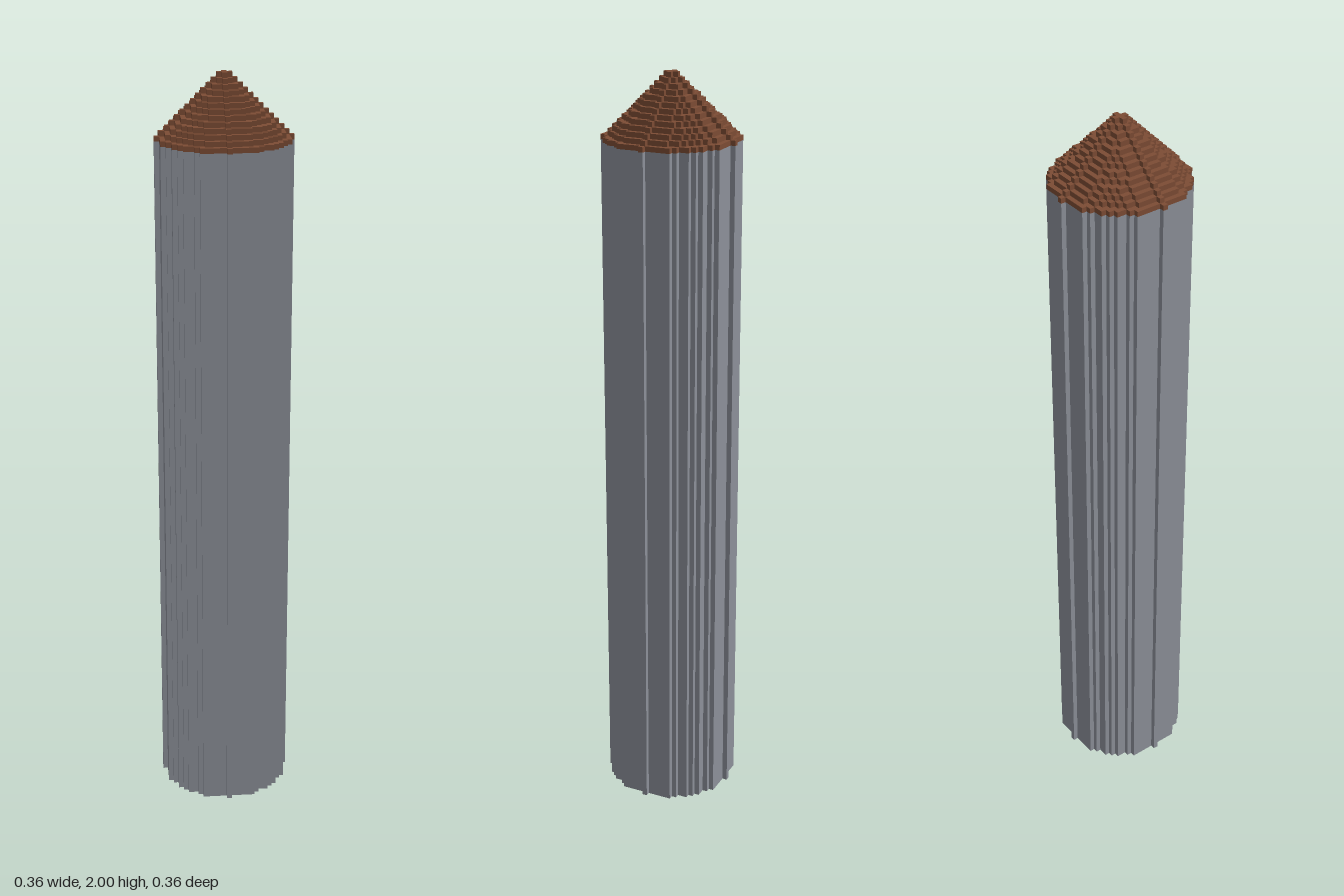
import * as THREE from 'three';

const UNIT = 2 / 152;      // size of one block
const RADIUS = 13;         // shaft radius in blocks
const SHAFT_LAYERS = 139;

// Stepped outline of a disc made of square blocks
function discShape(r) {
  const points = [];
  const add = (x, y) => {
    const last = points[points.length - 1];
    if (!last || last.x !== x || last.y !== y) points.push(new THREE.Vector2(x, y));
  };
  const half = (row) => Math.floor(Math.sqrt(r * r - row * row)) + 0.5;
  for (let row = -r; row <= r; row++) {
    add(half(row), row - 0.5);
    add(half(row), row + 0.5);
  }
  for (let row = r; row >= -r; row--) {
    add(-half(row), row + 0.5);
    add(-half(row), row - 0.5);
  }
  return new THREE.Shape(points.map((p) => p.multiplyScalar(UNIT)));
}

// Upright slab of a block disc, starting at a given layer
function discMesh(name, r, startLayer, layers, material) {
  const geometry = new THREE.ExtrudeGeometry(discShape(r), {
    depth: layers * UNIT,
    bevelEnabled: false,
  });
  geometry.rotateX(-Math.PI / 2);
  const mesh = new THREE.Mesh(geometry, material);
  mesh.name = name;
  mesh.position.y = startLayer * UNIT;
  return mesh;
}

export function createModel() {
  const stone = new THREE.MeshStandardMaterial({ color: 0x8c9099 });
  stone.name = 'grey stone';
  const tile = new THREE.MeshStandardMaterial({ color: 0x7c4c34 });
  tile.name = 'brown roof';

  const model = new THREE.Group();
  model.name = 'tower';

  // Tall shaft
  model.add(discMesh('shaft', RADIUS, 0, SHAFT_LAYERS, stone));

  // Stepped conical roof, one block narrower per layer
  const roof = new THREE.Group();
  roof.name = 'roof';
  for (let r = RADIUS; r >= 1; r--) {
    roof.add(discMesh('roofLayer', r, SHAFT_LAYERS + RADIUS - r, 1, tile));
  }
  model.add(roof);
  return model;
}
